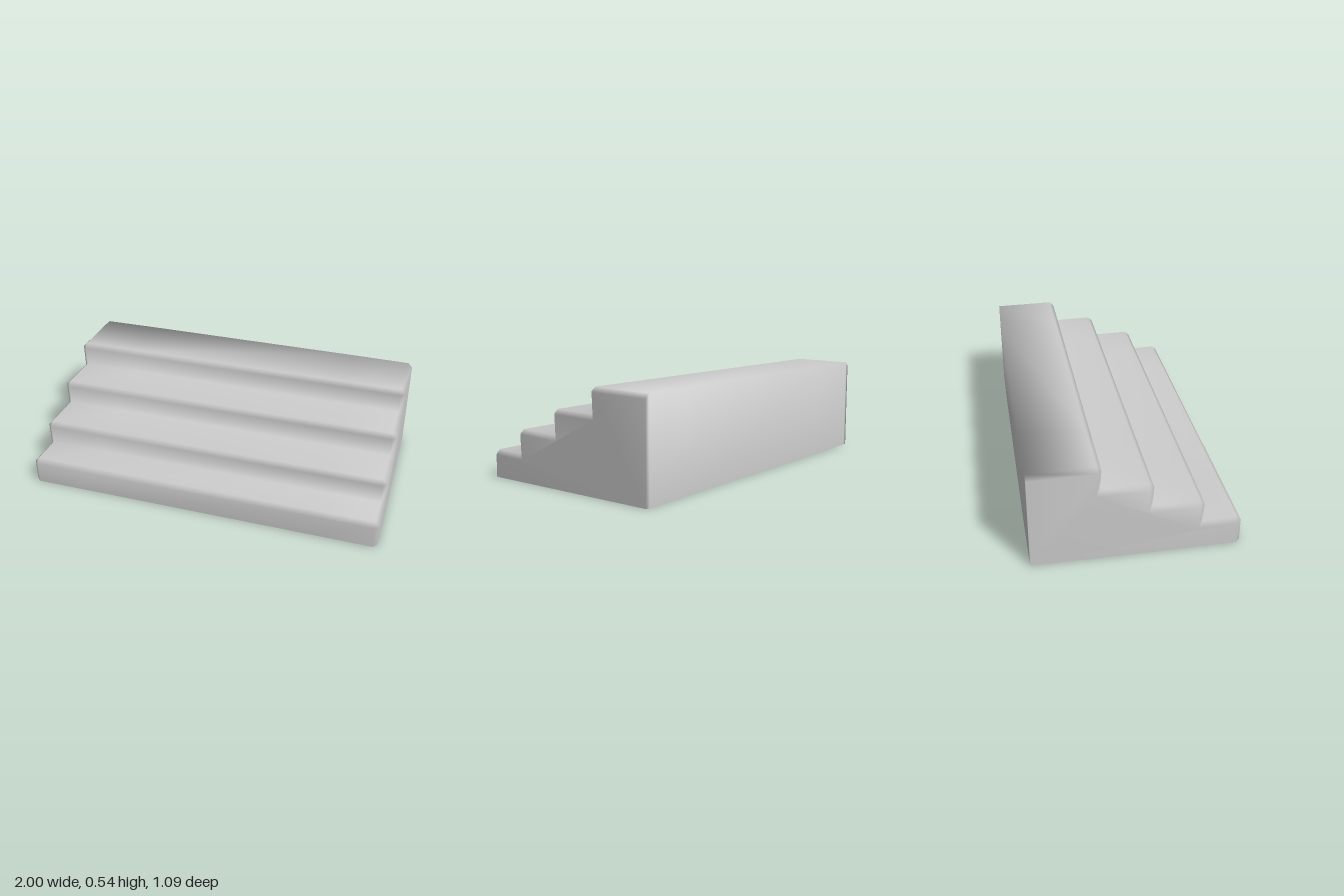
import * as THREE from 'three';
import { mergeVertices } from 'three/addons/utils/BufferGeometryUtils.js';

const BEVEL = 0.025;
// Each step: z of its riser and height of its tread
const STEPS = [[0.543, 0.148], [0.344, 0.279], [0.083, 0.41], [-0.178, 0.541]];
const BACK = -0.54;

// Stair profile as [z, y] from the front foot over the treads to the back foot.
// An end profile is shrunk by the bevel so the noses and corners round off.
function stairProfile(isEnd, bulge) {
  const inset = isEnd ? BEVEL : 0;
  const points = [[STEPS[0][0] - inset, 0]];
  STEPS.forEach(([z, y], i) => {
    points.push([z - inset, y - BEVEL], [z - BEVEL, y - inset]);
    const next = STEPS[i + 1];
    if (next) points.push([next[0] - 0.005 - inset, y - 0.005 - inset]);
  });
  const top = STEPS[STEPS.length - 1][1];
  points.push([BACK - bulge, top - 0.004 - inset], [BACK - bulge, 0]);
  return points;
}

function stairShell() {
  // Cross-sections along x: [x, is an end, bulge of the back wall]
  const sections = [
    [-1, true, 0], [-0.975, false, 0.001], [-0.65, false, 0.004],
    [0.65, false, 0.004], [0.975, false, 0.001], [1, true, 0],
  ];
  const positions = [];
  const index = [];
  const profiles = sections.map(([, isEnd, bulge]) => stairProfile(isEnd, bulge));
  const n = profiles[0].length;
  profiles.forEach((profile, i) => {
    for (const [z, y] of profile) positions.push(sections[i][0], y, z);
  });

  // Treads, risers and back wall
  for (let i = 0; i < sections.length - 1; i++) {
    for (let j = 0; j < n - 1; j++) {
      const a = i * n + j, b = a + n;
      index.push(a, b, b + 1, a, b + 1, a + 1);
    }
  }

  // Side walls
  const outline = profiles[0].map(([z, y]) => new THREE.Vector2(-z, y));
  const last = (sections.length - 1) * n;
  for (const [a, b, c] of THREE.ShapeUtils.triangulateShape(outline, [])) {
    index.push(last + a, last + b, last + c, c, b, a);
  }

  const geometry = new THREE.BufferGeometry();
  geometry.setAttribute('position', new THREE.Float32BufferAttribute(positions, 3));
  geometry.setIndex(index);
  const merged = mergeVertices(geometry);
  merged.computeVertexNormals();
  return merged;
}

export function createModel() {
  const group = new THREE.Group();
  group.name = 'steps';
  // Hollow shell, open underneath
  const material = new THREE.MeshStandardMaterial({ color: 0xcccccc, side: THREE.DoubleSide });
  const shell = new THREE.Mesh(stairShell(), material);
  shell.name = 'stairShell';
  group.add(shell);
  return group;
}
